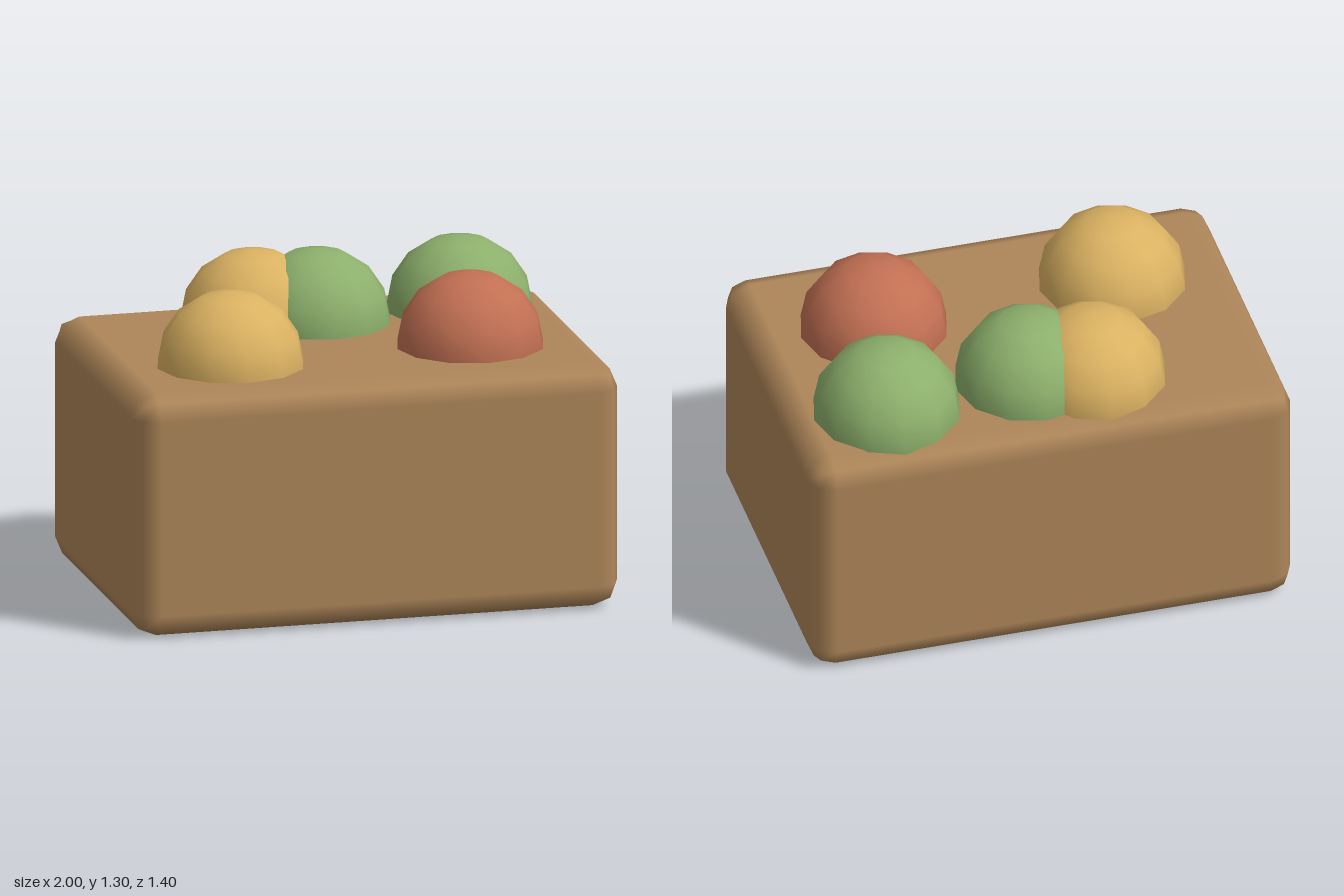
import * as THREE from 'three';
import { RoundedBoxGeometry } from 'three/addons/geometries/RoundedBoxGeometry.js';

const BROWN = 0xae8659, YELLOW = 0xdbb262, GREEN = 0x8db06c, RED = 0xc27053;

export function createModel() {
  const model = new THREE.Group();
  const add = (name, geometry, color, x, y, z) => {
    const mesh = new THREE.Mesh(geometry, new THREE.MeshStandardMaterial({ color }));
    mesh.name = name;
    mesh.position.set(x, y, z);
    model.add(mesh);
  };

  // Crate with softly bevelled edges
  add('crate', new RoundedBoxGeometry(2, 1, 1.4, 1, 0.1), BROWN, 0, 0.5, 0);

  // Balls sunk halfway into the top of the crate
  const ball = new THREE.SphereGeometry(0.3, 12, 8);
  const balls = [
    ['frontRightBall', YELLOW, -0.5, 0.25],
    ['backRightBall', YELLOW, -0.25, -0.35],
    ['backMiddleBall', GREEN, 0, -0.3],
    ['backLeftBall', GREEN, 0.6, -0.35],
    ['frontLeftBall', RED, 0.5, 0.2],
  ];
  for (const [name, color, x, z] of balls) add(name, ball, color, x, 1, z);

  return model;
}
